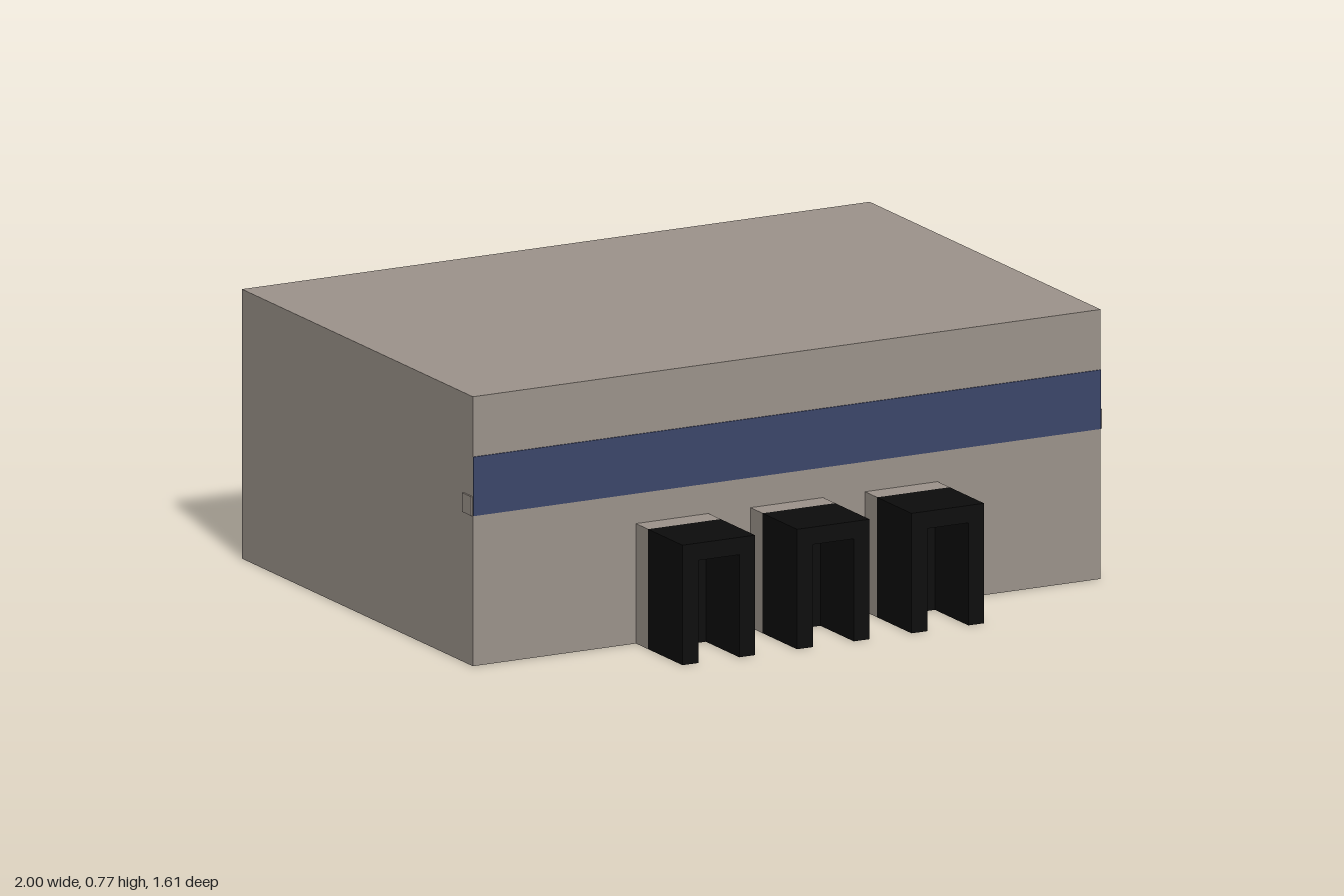
import * as THREE from 'three';

export function createModel() {
  const model = new THREE.Group();
  const grey = new THREE.MeshStandardMaterial({ name: 'warm grey cladding', color: 0x9b928a, side: THREE.DoubleSide });
  const blue = new THREE.MeshStandardMaterial({ name: 'navy band', color: 0x3b4569 });
  const black = new THREE.MeshStandardMaterial({ name: 'black rubber', color: 0x0c0c0c });

  const W = 1.99, H = 0.775, BACK = -0.805, FRONT = 0.535;
  const D = FRONT - BACK, MID = (FRONT + BACK) / 2;

  function add(name, geometry, material, x, y, z, parent = model) {
    const mesh = new THREE.Mesh(geometry, material);
    mesh.name = name;
    mesh.position.set(x, y, z);
    parent.add(mesh);
    return mesh;
  }
  const box = (w, h, d) => new THREE.BoxGeometry(w, h, d);

  // Hall shell, open at the back
  add('roof', new THREE.PlaneGeometry(W, D), grey, 0, H, MID).rotation.x = -Math.PI / 2;
  add('floor', new THREE.PlaneGeometry(W, D), grey, 0, 0, MID).rotation.x = Math.PI / 2;
  add('frontWall', new THREE.PlaneGeometry(W, H), grey, 0, H / 2, FRONT);
  for (const s of [-1, 1]) {
    const wall = add('sideWall', new THREE.PlaneGeometry(D, H), grey, s * W / 2, H / 2, MID);
    wall.rotation.y = s * Math.PI / 2;
  }

  // Inner lining panels along the front wall, and the rail above them
  const count = 11, pitch = W / count;
  for (let i = 0; i < count; i++) {
    add('liningPanel', box(pitch - 0.006, 0.425, 0.052), grey,
      (i - (count - 1) / 2) * pitch, 0.2145, FRONT - 0.028);
  }
  add('wallRail', box(2, 0.055, 0.054), grey, 0, 0.46, FRONT - 0.028);

  // Painted band across the front
  add('frontBand', box(W, 0.17, 0.003), blue, 0, 0.517, FRONT + 0.0015);

  // Three loading docks: grey collar, black door and projecting U-shaped shelter
  const w = 0.23, h = 0.345, leg = 0.05;
  const frame = new THREE.Shape([
    [-w / 2, 0], [-w / 2 + leg, 0], [-w / 2 + leg, h - leg], [w / 2 - leg, h - leg],
    [w / 2 - leg, 0], [w / 2, 0], [w / 2, h], [-w / 2, h],
  ].map(([x, y]) => new THREE.Vector2(x, y)));
  const shelter = new THREE.ExtrudeGeometry(frame, { depth: 0.2, bevelEnabled: false });
  for (const x of [-0.363, 0, 0.363]) {
    const dock = new THREE.Group();
    dock.name = 'loadingDock';
    dock.position.x = x;
    model.add(dock);
    add('collar', box(w, h, 0.07), grey, 0, h / 2, FRONT + 0.035, dock);
    add('dockDoor', box(w - 2 * leg, h - leg, 0.006), black, 0, (h - leg) / 2, FRONT + 0.073, dock);
    add('shelter', shelter, black, 0, 0, 0.605, dock);
  }
  return model;
}
